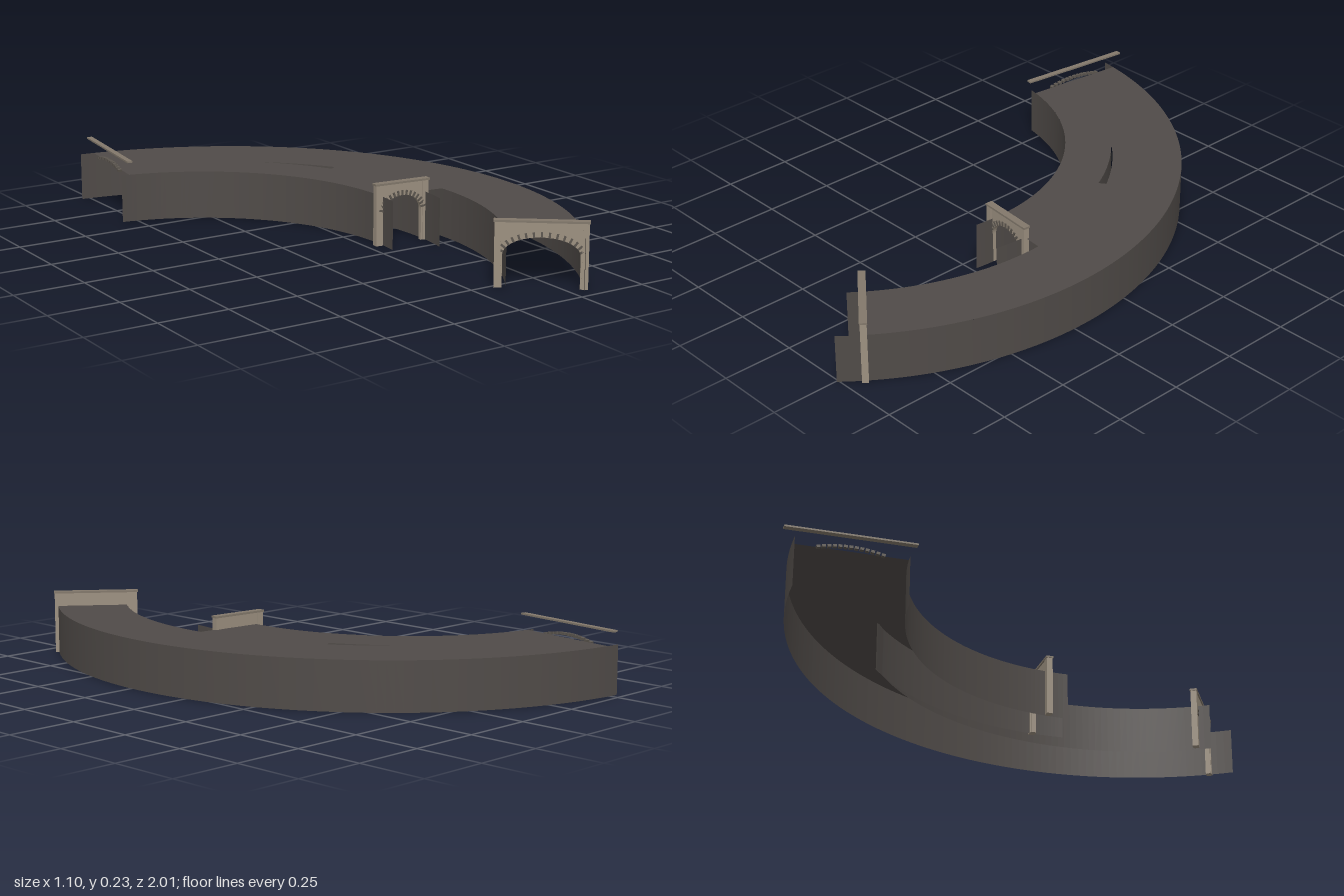
import * as THREE from 'three';

const material = (name, color, side = THREE.FrontSide) => {
  const m = new THREE.MeshStandardMaterial({ color, side });
  m.name = name;
  return m;
};

const H = 0.172; // tunnel height

// Points [x, z] along an arc; angles in degrees, 0 = +x, positive toward +z
function arc(c, r, a0, a1, n = 64) {
  return Array.from({ length: n + 1 }, (_, i) => {
    const a = THREE.MathUtils.degToRad(a0 + ((a1 - a0) * i) / n);
    return [c[0] + r * Math.cos(a), c[1] + r * Math.sin(a)];
  });
}

// Thin upright strip following a ground path
function wallGeometry(path) {
  const pos = [];
  for (let i = 0; i < path.length - 1; i++) {
    const [x0, z0] = path[i], [x1, z1] = path[i + 1];
    pos.push(x0, 0, z0, x1, H, z1, x1, 0, z1, x0, 0, z0, x0, H, z0, x1, H, z1);
  }
  const g = new THREE.BufferGeometry();
  g.setAttribute('position', new THREE.Float32BufferAttribute(pos, 3));
  g.computeVertexNormals();
  return g;
}

export function createModel() {
  const model = new THREE.Group();
  model.name = 'forkedTunnel';
  const concrete = material('dark concrete', 0x504b48, THREE.DoubleSide);
  const stone = material('portal stone', 0x9c9080);
  const copingStone = material('coping stone', 0x82786b);
  const archStone = material('arch stone', 0x5c564f);

  const add = (parent, geometry, mat, name, x = 0, y = 0, z = 0) => {
    const mesh = new THREE.Mesh(geometry, mat);
    mesh.name = name;
    mesh.position.set(x, y, z);
    parent.add(mesh);
    return mesh;
  };

  // Centres of the main curve and of the branching curve
  const main = [-0.652, 0.22], side = [-0.682, 0.13];

  // Tunnel walls, running slightly past the portals
  add(model, wallGeometry(arc(main, 1.2, -84.2, 41, 90)), concrete, 'outerWall');
  add(model, wallGeometry(arc(side, 0.74, -80, 7.9)), concrete, 'innerWall');
  add(model, wallGeometry(arc(main, 0.949, -51.9, 39.3)), concrete, 'mainBranchInnerWall');
  add(model, wallGeometry(arc(side, 0.905, -46.8, 9.8)), concrete, 'sideBranchOuterWall');

  // Flat roof with the crescent gap where the tunnel forks
  const toVec = ([x, z]) => new THREE.Vector2(x, -z);
  const roof = new THREE.Shape([
    ...arc(main, 1.2, -81.8, 36.4, 90),
    ...arc(main, 0.949, 36.4, -2.7),
    ...arc(side, 0.74, 1.8, -77.8),
  ].map(toVec));
  roof.holes.push(new THREE.Path([
    ...arc(main, 0.953, -51.9, -32.4, 24),
    ...arc(side, 0.907, -26.5, -46.4, 24),
  ].map(toVec)));
  const roofGeo = new THREE.ShapeGeometry(roof);
  roofGeo.rotateX(-Math.PI / 2);
  add(model, roofGeo, concrete, 'roof', 0, H, 0);

  // Frame at a tunnel mouth, spanning a to b and facing outward along its own +z
  const mouth = (name, a, b) => {
    const g = new THREE.Group();
    g.name = name;
    g.position.set((a[0] + b[0]) / 2, 0, (a[1] + b[1]) / 2);
    g.rotation.y = -Math.atan2(b[1] - a[1], b[0] - a[0]);
    model.add(g);
    return [g, Math.hypot(b[0] - a[0], b[1] - a[1])];
  };

  // Stone portal with arched opening, end pillars, coping and arch stones
  function portal(name, a, b, top, open) {
    const [g, w] = mouth(name, a, b);
    const r = open / 2, spring = 0.11, rise = 0.06, depth = 0.016;
    const face = new THREE.Shape();
    face.moveTo(-w / 2, 0);
    face.lineTo(-r, 0);
    face.lineTo(-r, spring);
    face.absellipse(0, spring, r, rise, Math.PI, 0, true);
    face.lineTo(r, 0);
    face.lineTo(w / 2, 0);
    face.lineTo(w / 2, top - 0.006);
    face.lineTo(-w / 2, top - 0.006);
    const geo = new THREE.ExtrudeGeometry(face, { depth, bevelEnabled: false, curveSegments: 20 });
    add(g, geo, stone, 'facade', 0, 0, -depth / 2);
    const pw = w / 2 - r;
    for (const s of [-1, 1])
      add(g, new THREE.BoxGeometry(pw * 0.8, top - 0.006, 0.022), stone, 'pillar',
        s * (w / 2 - pw * 0.4), (top - 0.006) / 2, 0);
    add(g, new THREE.BoxGeometry(w + 0.006, 0.007, 0.026), copingStone, 'coping', 0, top - 0.0035, 0);
    for (let i = 0; i < 15; i++) {
      const t = Math.PI * (0.06 + (0.88 * i) / 14);
      const n = new THREE.Vector2(Math.cos(t) / r, Math.sin(t) / rise).normalize();
      const v = add(g, new THREE.BoxGeometry(0.007, 0.018, 0.004), archStone, 'archStone',
        r * Math.cos(t) + n.x * 0.009, spring + rise * Math.sin(t) + n.y * 0.009, depth / 2 + 0.001);
      v.rotation.z = Math.atan2(n.y, n.x) - Math.PI / 2;
    }
  }
  portal('sidePortal', [0.03, 0.153], [0.235, 0.172], 0.22, 0.15);
  portal('mainPortal', [0.083, 0.757], [0.32, 0.945], 0.226, 0.25);

  // Open rear mouth: only the coping bar and the crown of the arch
  const [rear, rw] = mouth('rearMouth', [-0.482, -0.997], [-0.535, -0.567]);
  add(rear, new THREE.BoxGeometry(rw, 0.006, 0.02), copingStone, 'rearCoping', 0, 0.225, 0);
  for (let i = 0; i < 13; i++) {
    const u = i / 6 - 1;
    const v = add(rear, new THREE.BoxGeometry(0.012, 0.009, 0.014), archStone, 'rearArchStone',
      u * 0.105, 0.171 + 0.013 * (1 - u * u), 0);
    v.rotation.z = -u * 0.22;
  }
  return model;
}
